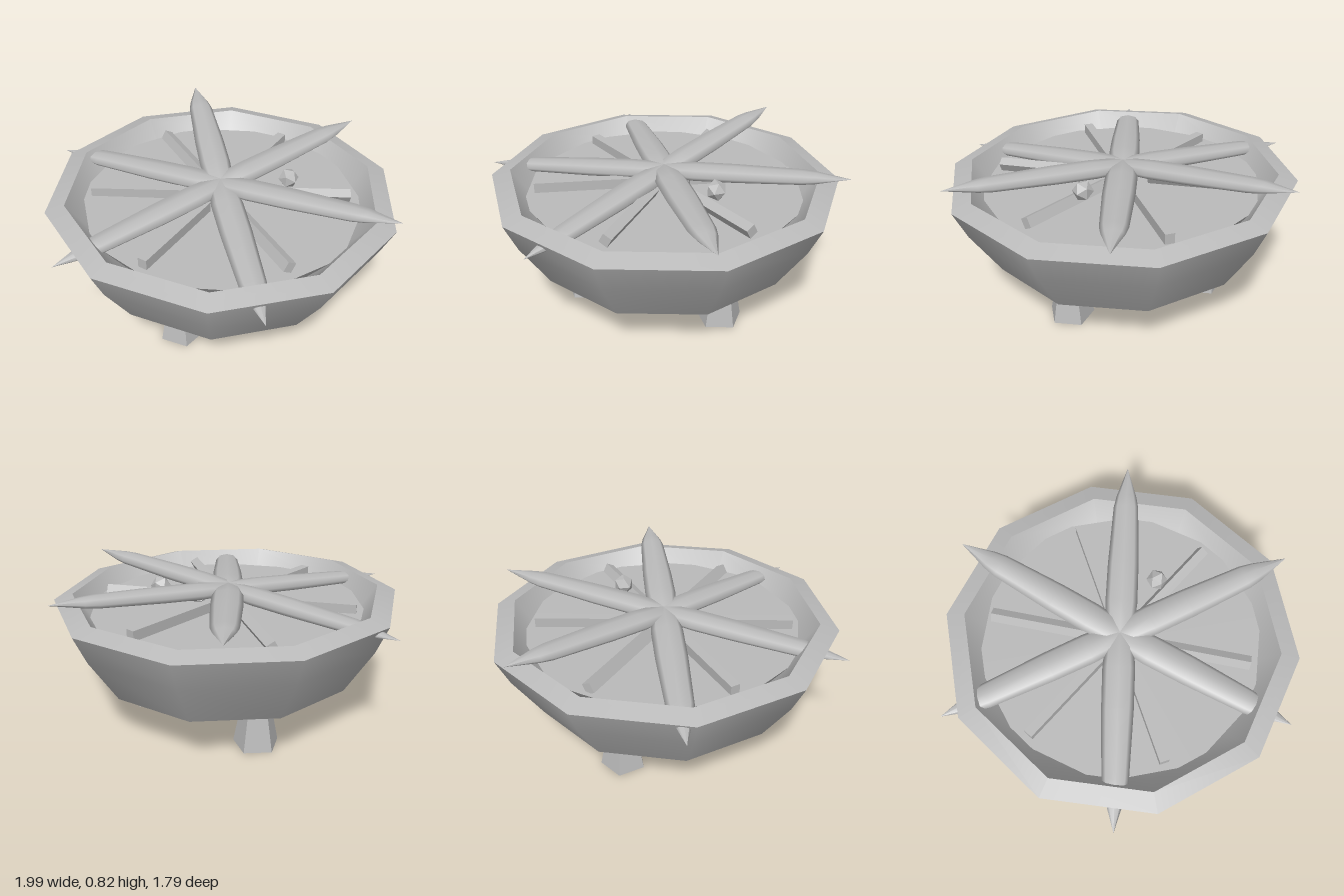
import * as THREE from 'three';

export function createModel() {
  const model = new THREE.Group();
  const grey = new THREE.MeshStandardMaterial({ color: 0xbbbbbb });
  grey.name = 'grey';

  function add(parent, name, geometry, x = 0, y = 0, z = 0) {
    const mesh = new THREE.Mesh(geometry, grey);
    mesh.name = name;
    mesh.position.set(x, y, z);
    parent.add(mesh);
    return mesh;
  }
  const ring = (points, sides, start = 0) =>
    new THREE.LatheGeometry(points.map(([r, y]) => new THREE.Vector2(r, y)), sides, start);

  // Ten-sided bowl; separate bands keep the edges between them sharp
  const bowl = new THREE.Group();
  bowl.name = 'bowl';
  bowl.position.x = 0.012;
  bowl.rotation.z = -0.013;
  model.add(bowl);
  const bands = {
    bowlBase: [[0, 0.182], [0.42, 0.182], [0.72, 0.28]],
    bowlWall: [[0.72, 0.28], [0.875, 0.53], [0.942, 0.682]],
    bowlRim: [[0.942, 0.682], [0.84, 0.712]],
    bowlInside: [[0.84, 0.712], [0.76, 0.6], [0.66, 0.5]],
  };
  for (const [name, points] of Object.entries(bands)) {
    add(bowl, name, ring(points, 10, Math.PI / 2));
  }

  // Flat filling inside the bowl
  add(bowl, 'filling', new THREE.CylinderGeometry(0.77, 0.7, 0.1, 10), 0, 0.58, 0);

  // Three five-sided tapered legs
  for (const [x, z] of [[-0.04, 0.44], [0.43, -0.185], [-0.345, -0.28]]) {
    const foot = new THREE.CylinderGeometry(0.075, 0.125, 0.26, 5, 1, false, Math.PI).toNonIndexed();
    foot.computeVertexNormals();
    add(model, 'leg', foot, x, 0.13, z);
  }

  // Six bars lying on the filling, some rolled on their side
  const rolls = [0.5, 0, 0.5, 0, 0, -0.5];
  rolls.forEach((roll, i) => {
    const spoke = new THREE.Group();
    spoke.name = 'spoke';
    spoke.position.set(0.01, 0.66, 0);
    spoke.rotation.y = THREE.MathUtils.degToRad(20 + i * 60);
    const bar = add(spoke, 'bar', new THREE.BoxGeometry(0.56, 0.055, 0.05), 0.42, 0, 0);
    bar.rotation.x = roll;
    model.add(spoke);
  });

  // Tilted star: six flattened arms, the lower ones piercing the bowl wall
  const hub = new THREE.Vector3(0.01, 0.72, 0);
  const tips = [
    [0.99, 0.775, 0.06], [0.52, 0.78, -0.84], [-0.5, 0.81, -0.83],
    [-1, 0.665, -0.06], [-0.5, 0.655, 0.87], [0.56, 0.635, 0.83],
  ];
  const armProfile = [[0, -0.04], [0.07, 0], [0.085, 0.18], [0.083, 0.4], [0.068, 0.75], [0.055, 0.82], [0, 1]];
  for (const tip of tips) {
    const along = new THREE.Vector3(...tip).sub(hub);
    const arm = ring(armProfile, 8);
    arm.scale(1, along.length(), 0.47);
    const side = new THREE.Vector3(0, 1, 0).cross(along).normalize();
    const dir = along.clone().normalize();
    const up = side.clone().cross(dir);
    arm.applyMatrix4(new THREE.Matrix4().makeBasis(side, dir, up));
    add(model, 'starArm', arm, hub.x, hub.y, hub.z);
  }

  // Small faceted bead
  add(model, 'bead', new THREE.IcosahedronGeometry(0.056, 0), 0.335, 0.728, -0.18);
  return model;
}
